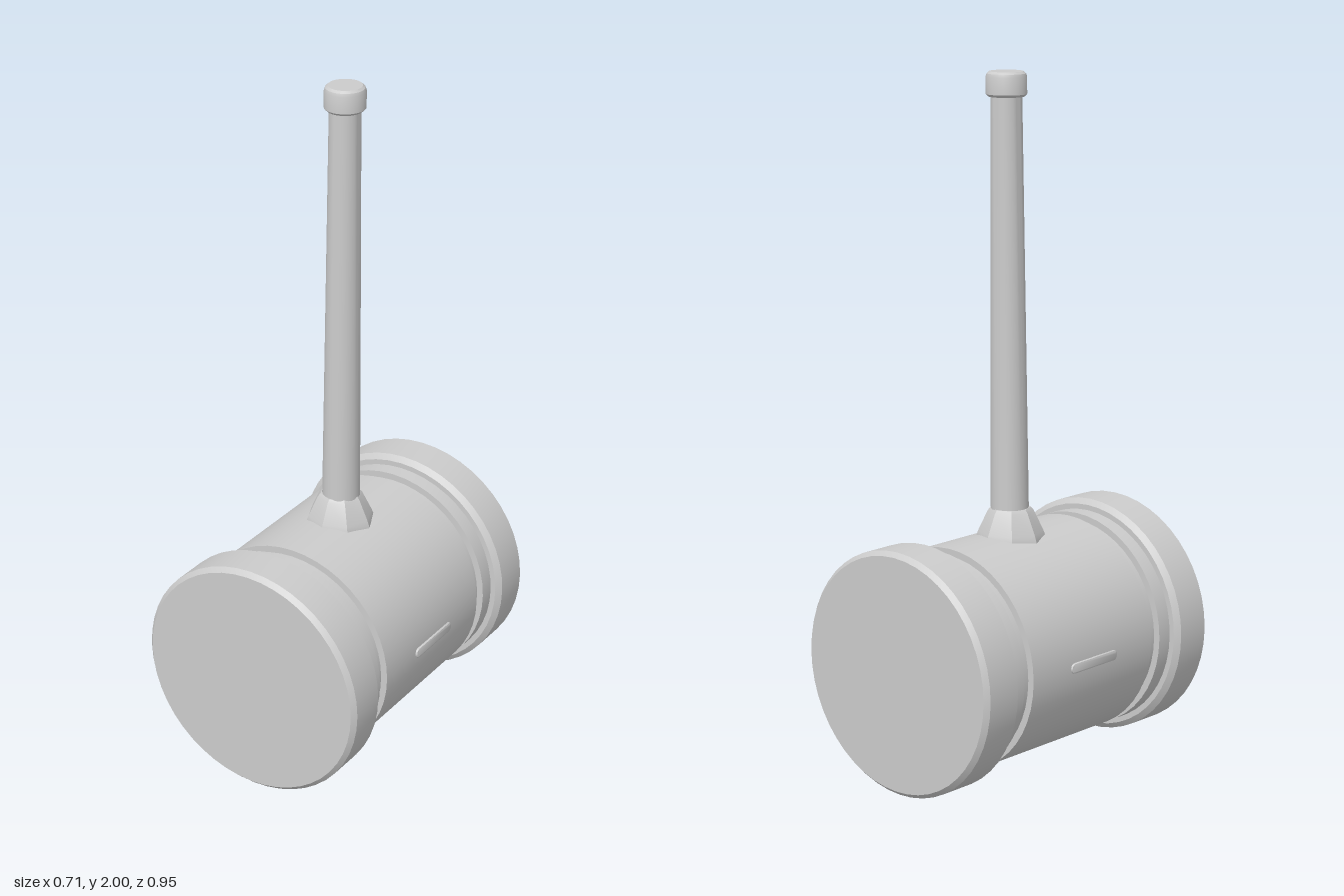
import * as THREE from 'three';
import { toCreasedNormals } from 'three/addons/utils/BufferGeometryUtils.js';

const HEAD_Y = 0.355;
const material = new THREE.MeshStandardMaterial({ color: 0xcccccc });

function addMesh(parent, name, geometry) {
  const mesh = new THREE.Mesh(geometry, material);
  mesh.name = name;
  parent.add(mesh);
  return mesh;
}

// Turned part from [radius, height] pairs, listed bottom to top
function turned(profile, segments) {
  const points = profile.map(([r, y]) => new THREE.Vector2(r, y));
  return toCreasedNormals(new THREE.LatheGeometry(points, segments), 0.4);
}

// Lean the handle slightly towards +x as it rises
function lean(geometry) {
  const p = geometry.attributes.position;
  for (let i = 0; i < p.count; i++) {
    p.setX(i, p.getX(i) + 0.003 + (p.getY(i) - 0.7) * 0.0105);
  }
  return geometry;
}

export function createModel() {
  const model = new THREE.Group();
  model.name = 'mallet';

  // Head: barrel with a groove and a chamfered striking band at each end
  const half = [
    [0.322, 0.253], [0.302, 0.253], [0.302, 0.29], [0.322, 0.29],
    [0.322, 0.337], [0.338, 0.337], [0.354, 0.351], [0.354, 0.46],
    [0.341, 0.474], [0, 0.474],
  ];
  const mirrored = half.map(([r, z]) => [r, -z]).reverse();
  const head = addMesh(model, 'head', turned([...mirrored, ...half], 48).rotateX(Math.PI / 2));
  head.position.y = HEAD_Y;

  // Thin raised rounded bars on both sides of the barrel
  const bar = new THREE.Shape();
  bar.absarc(0.082, 0, 0.011, -Math.PI / 2, Math.PI / 2);
  bar.absarc(-0.082, 0, 0.011, Math.PI / 2, Math.PI * 1.5);
  for (const side of [1, -1]) {
    const geometry = new THREE.ExtrudeGeometry(bar, {
      depth: 0.024, bevelSize: 0.004, bevelThickness: 0.004, bevelSegments: 2, curveSegments: 8,
    });
    geometry.rotateY(side * Math.PI / 2);
    const mesh = addMesh(model, side > 0 ? 'leftBar' : 'rightBar', toCreasedNormals(geometry, 0.5));
    mesh.position.set(side * 0.3, HEAD_Y, 0);
  }

  // Eight-sided collar where the handle enters the head
  addMesh(model, 'collar', turned([
    [0, 0.62], [0.102, 0.62], [0.101, 0.664], [0.094, 0.683], [0.066, 0.743], [0.058, 0.752], [0, 0.752],
  ], 8));

  // Tapered handle
  addMesh(model, 'handle', lean(turned([
    [0, 0.62], [0.056, 0.62], [0.055, 0.75], [0.044, 1.95], [0, 1.95],
  ], 32)));

  // End cap
  addMesh(model, 'endCap', lean(turned([
    [0, 1.93], [0.051, 1.93], [0.058, 1.937], [0.058, 1.985], [0.055, 1.994], [0.048, 2], [0, 2],
  ], 32)));

  return model;
}
